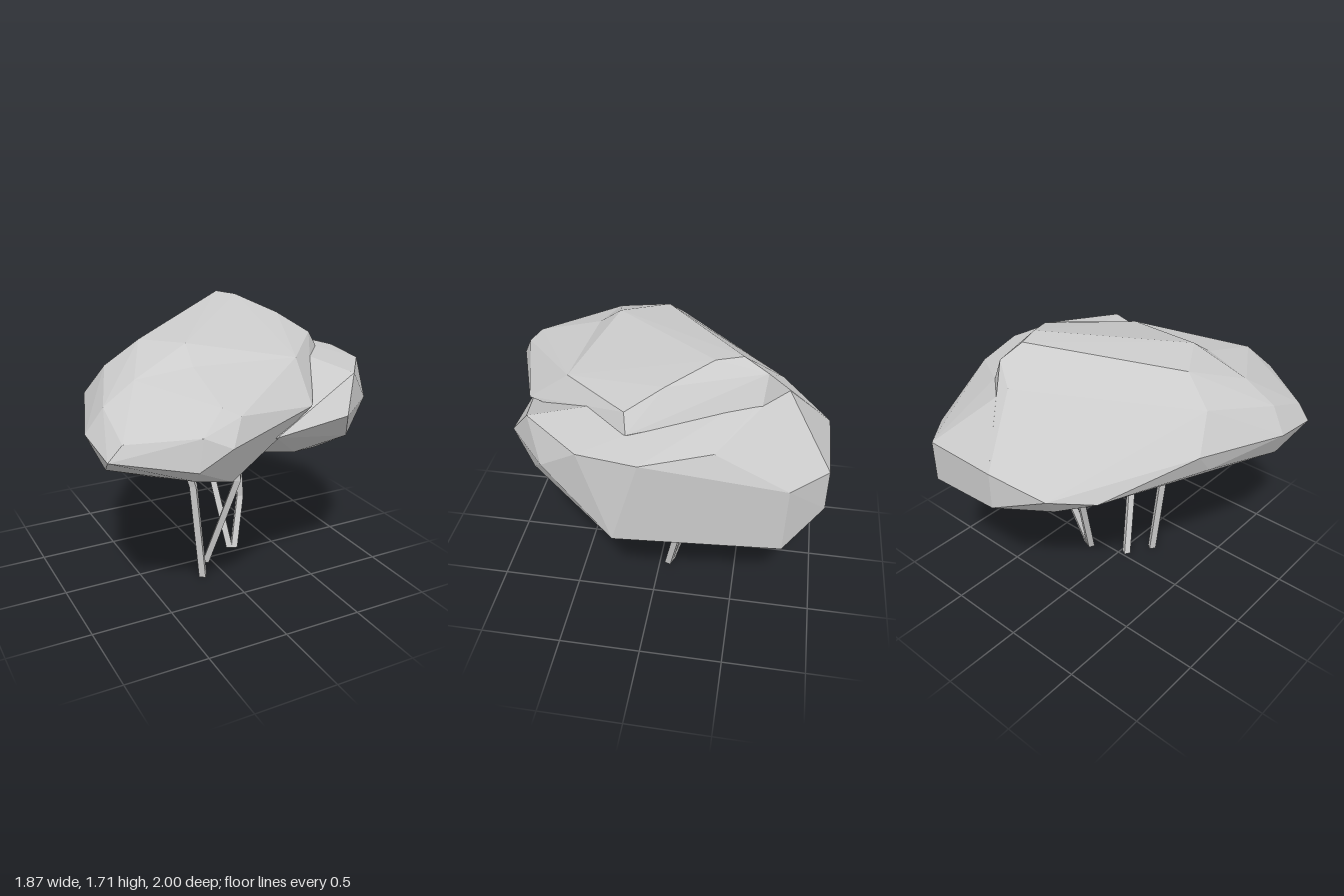
import * as THREE from 'three';
import { ConvexGeometry } from 'three/addons/geometries/ConvexGeometry.js';

const material = new THREE.MeshStandardMaterial({ color: 0xcccccc, flatShading: true });

// Faceted clump of leaves wrapped around a few corner points
function clump(name, points) {
  const geometry = new ConvexGeometry(points.map((p) => new THREE.Vector3(...p)));
  const mesh = new THREE.Mesh(geometry, material);
  mesh.name = name;
  return mesh;
}

// Four-sided stem whose horizontal rings follow the given path, base first
function stem(name, path, turn) {
  const last = path.length - 1;
  const geometry = new THREE.CylinderGeometry(0.03, 0.03, last, 4, last);
  geometry.rotateY(turn);
  const pos = geometry.attributes.position;
  for (let i = 0; i < pos.count; i++) {
    const [x, y, z] = path[Math.round(pos.getY(i) + last / 2)];
    pos.setXYZ(i, pos.getX(i) + x, y, pos.getZ(i) + z);
  }
  const flat = geometry.toNonIndexed();
  flat.computeVertexNormals();
  const mesh = new THREE.Mesh(flat, material);
  mesh.name = name;
  return mesh;
}

export function createModel() {
  const tree = new THREE.Group();
  tree.name = 'tree';

  // Corners shared by the crest and the front clump
  const seam = [
    [-0.94, 1.18, 0.39], [-0.84, 1.33, 0.42], [-0.65, 1.45, 0.4], [-0.33, 1.5, 0.47],
    [0.3, 1.49, 0.52], [0.65, 1.52, 0.12], [0.72, 1.42, 0.1],
    [-0.86, 0.99, 0.47], [-0.63, 0.93, 0.53], [-0.2, 0.95, 0.4],
  ];

  // Tall clump: crest and back
  tree.add(clump('crestFoliage', [
    ...seam,
    [-0.75, 1.23, -0.18], [-0.75, 1.1, -0.08], [-0.44, 1.04, -0.68],
    [-0.25, 1.08, -0.89], [-0.2, 0.93, -0.78],
    [0.07, 1.18, -1], [0.07, 0.95, -1], [-0.67, 1.43, -0.02],
    [-0.48, 1.58, 0.05], [-0.31, 1.6, 0.33], [0.3, 1.71, -0.48], [0.36, 1.71, -0.33],
    [0.53, 1.62, -0.08], [0.34, 1.64, -0.62], [0.2, 1.54, -0.7], [0.43, 1.47, -0.6],
  ]));

  // Front clump with the pointed tip
  tree.add(clump('frontFoliage', [
    ...seam,
    [-0.93, 1.13, 0.71], [-0.53, 1.09, 0.95], [-0.36, 1.21, 1], [-0.28, 0.95, 0.84],
    [-0.5, 1, 0.85], [-0.85, 1.22, 0.72], [-0.5, 1.27, 0.94], [-0.36, 1.39, 0.87],
    [-0.28, 1.35, 0.93], [0.25, 1.28, 0.78],
  ]));

  // Lower clump along the left side, closing the back
  tree.add(clump('lowerFoliage', [
    [0, 1.15, 0.83], [0.47, 1.2, 0.82], [0.25, 1.26, 0.75], [0.6, 1.4, 0.68],
    [0.87, 1.38, 0.34], [0.92, 1.38, 0], [0.78, 1.4, -0.38], [0.43, 1.48, -0.6],
    [0.2, 1.54, -0.7], [0.77, 1.2, 0.57], [0.93, 0.86, 0.15], [0.84, 1.06, -0.22],
    [0.74, 1.16, -0.79], [0.07, 1.18, -1], [0.56, 1.18, -1], [0.07, 0.95, -1],
    [0.56, 0.92, -1], [0.57, 1.02, 0.68], [0.73, 0.73, -0.78], [0.56, 0.71, -0.78],
    [0.54, 0.85, 0.4], [0.29, 0.92, 0.56], [0.72, 0.77, 0], [0.3, 0.8, 0.15],
    [-0.2, 0.95, 0.4], [-0.2, 0.93, -0.78],
  ]));

  // Bent stems running up into the leaves
  const paths = [
    [[-0.14, 0, 0.2], [-0.21, 0.66, 0.21], [-0.34, 1.05, 0.22]],
    [[-0.04, 0, 0.04], [0.08, 0.66, 0.25], [0.05, 1, 0.23]],
    [[0.2, 0, -0.07], [0.12, 0.65, -0.26], [0.07, 1, -0.28]],
    [[0.23, 0, -0.06], [0.31, 0.35, -0.13], [0.25, 0.95, -0.1]],
  ];
  paths.forEach((path, i) => tree.add(stem(`stem${i + 1}`, path, 0.15 + i * 0.1)));

  return tree;
}
